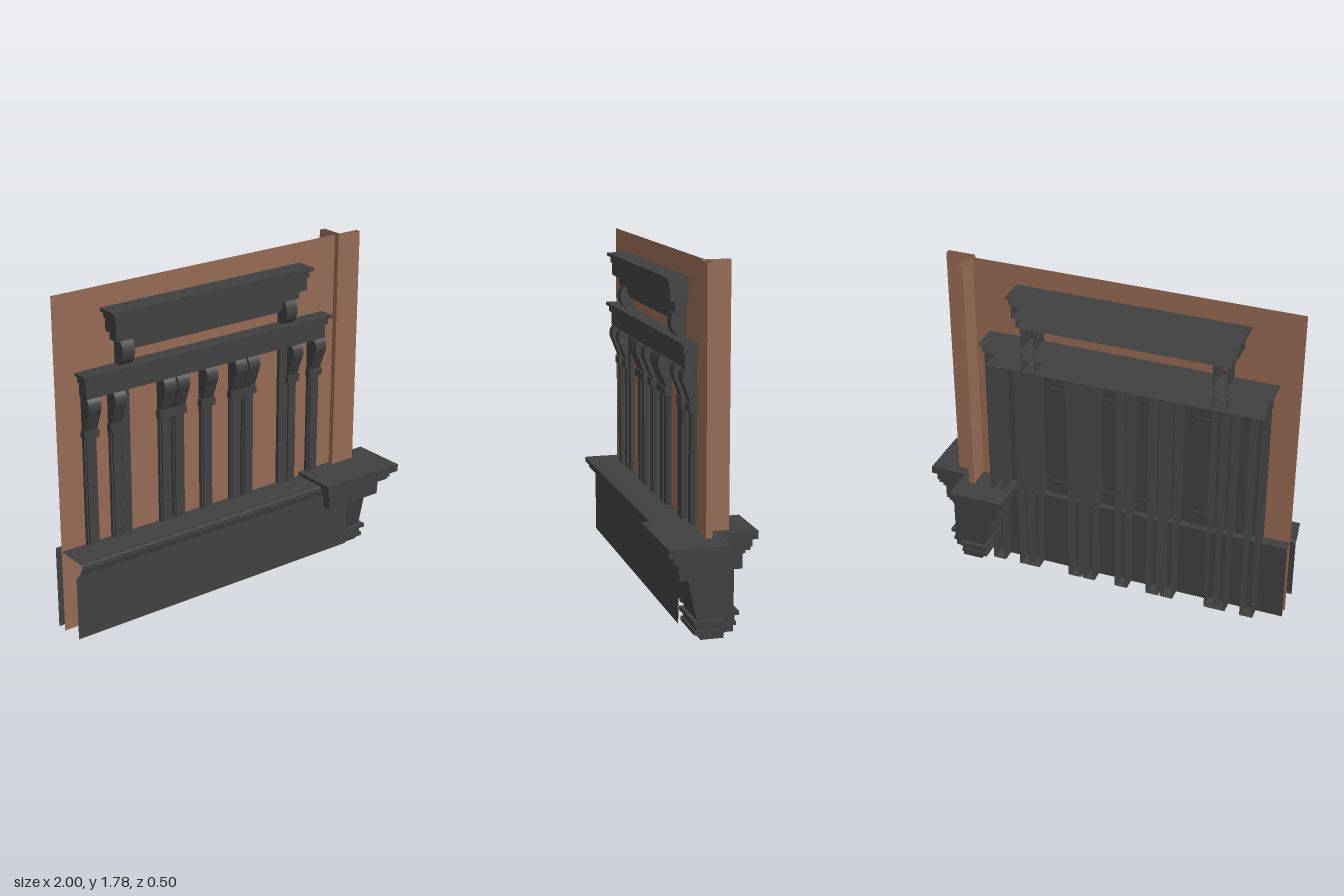
import * as THREE from 'three';

const dark = new THREE.MeshStandardMaterial({ color: 0x404040, side: THREE.DoubleSide });
dark.name = 'charcoal paint';
const brown = new THREE.MeshStandardMaterial({ color: 0x966a54, side: THREE.DoubleSide });
brown.name = 'brown wall';

const CENTRE = -0.125; // mirror axis of the pilaster front
const BACK = -0.135;

function add(parent, name, geometry, material = dark) {
  const mesh = new THREE.Mesh(geometry, material);
  mesh.name = name;
  parent.add(mesh);
  return mesh;
}

// Box given by its limits, without the face on the -z side
function openBox(x0, x1, y0, y1, z0, z1) {
  const g = new THREE.BoxGeometry(x1 - x0, y1 - y0, z1 - z0);
  g.translate((x0 + x1) / 2, (y0 + y1) / 2, (z0 + z1) / 2);
  g.setIndex(Array.from(g.index.array).slice(0, 30));
  g.clearGroups();
  return g;
}

// Side profile of [z, y] points extruded from x0 to x1
function profile(points, x0, x1) {
  const shape = new THREE.Shape(points.map(([z, y]) => new THREE.Vector2(z, y)));
  const g = new THREE.ExtrudeGeometry(shape, { depth: x1 - x0, bevelEnabled: false });
  return g.rotateY(-Math.PI / 2).translate(x1, 0, 0);
}

// Open sheet swept along x from a line of [z, y] points
function sheet(points, x0, x1) {
  const pos = [];
  for (let i = 0; i < points.length - 1; i++) {
    const [za, ya] = points[i], [zb, yb] = points[i + 1];
    pos.push(x0, ya, za, x0, yb, zb, x1, yb, zb, x0, ya, za, x1, yb, zb, x1, ya, za);
  }
  const g = new THREE.BufferGeometry();
  g.setAttribute('position', new THREE.Float32BufferAttribute(pos, 3));
  g.computeVertexNormals();
  return g;
}

// L-shaped plinth tier; the two outer faces may lean from inset o0 to o1
function plinthTier(y0, y1, o0, o1, end) {
  const xo = 0.5 + o0, zo = 0.25 - o0, xe = 1 - end, ze = -0.25 + end;
  const plan = [[xo, zo], [xe, zo], [xe, -0.055], [0.8, -0.055], [0.8, ze], [xo, ze]];
  const shape = new THREE.Shape(plan.map(([x, z]) => new THREE.Vector2(x, -z)));
  const g = new THREE.ExtrudeGeometry(shape, { depth: y1 - y0, bevelEnabled: false });
  g.rotateX(-Math.PI / 2).translate(0, y0, 0);
  const p = g.attributes.position;
  for (let i = 0; i < p.count; i++) {
    if (p.getY(i) < (y0 + y1) / 2) continue;
    if (Math.abs(p.getX(i) - xo) < 1e-4) p.setX(i, 0.5 + o1);
    if (Math.abs(p.getZ(i) - zo) < 1e-4) p.setZ(i, 0.25 - o1);
  }
  g.computeVertexNormals();
  return g;
}

// Smooth scroll curve closed against the wall
function scroll(points) {
  const curve = new THREE.SplineCurve(points.map(([z, y]) => new THREE.Vector2(z, y)));
  const pts = curve.getPoints(16).map((v) => [v.x, v.y]);
  return [[0, points[0][1]], ...pts, [0, points[points.length - 1][1]]];
}

export function createModel() {
  const model = new THREE.Group();
  model.name = 'panelled wall';

  // Wall sheet and folded corner post
  add(model, 'wall', sheet([[0, 0.03], [0, 1.78]], -1, 0.715), brown);
  const post = new THREE.Group();
  post.name = 'cornerPost';
  model.add(post);
  const plan = [[0.715, 0.03], [0.86, 0.03], [0.86, 0], [0.745, 0], [0.745, -0.12], [0.715, -0.12], [0.715, 0.03]];
  for (let i = 0; i < plan.length - 1; i++) {
    const [xa, za] = plan[i], [xb, zb] = plan[i + 1];
    const g = new THREE.PlaneGeometry(Math.hypot(xb - xa, zb - za), 1.31);
    g.rotateY(Math.atan2(za - zb, xb - xa)).translate((xa + xb) / 2, 1.125, (za + zb) / 2);
    add(post, 'postFace', g, brown);
  }

  // Base board with its moulding and ledge
  add(model, 'baseBoard', sheet([[0.13, 0.04], [0.13, 0.38]], -1, 0.74));
  add(model, 'baseMoulding', sheet([
    [0.13, 0.38], [0.15, 0.39], [0.15, 0.4], [0.165, 0.405], [0.175, 0.44],
    [0.19, 0.445], [0.19, 0.465], [0.18, 0.47], [-0.055, 0.47],
  ], -1, 0.62));
  add(model, 'baseBack', sheet([[-0.055, 0.03], [-0.055, 0.47]], -1, 0.62));

  // Stepped corner plinth
  const plinth = new THREE.Group();
  plinth.name = 'cornerPlinth';
  model.add(plinth);
  [
    [0, 0.03, 0.19, 0.17, 0.125], [0.03, 0.05, 0.155, 0.155, 0.11],
    [0.05, 0.08, 0.165, 0.165, 0.118], [0.08, 0.1, 0.15, 0.15, 0.095],
    [0.1, 0.31, 0.17, 0.125, 0.122], [0.31, 0.385, 0.075, 0.07, 0.08],
    [0.385, 0.4, 0.07, 0.045, 0.065], [0.4, 0.415, 0.04, 0.04, 0.04],
    [0.415, 0.45, 0.03, 0.03, 0.03], [0.45, 0.49, 0, 0, 0],
  ].forEach((t) => add(plinth, 'plinthTier', plinthTier(...t)));

  // Pilasters: hollow shafts running through the wall, with scroll corbels
  const corbel = scroll([[0.028, 1.08], [0.045, 1.12], [0.06, 1.16], [0.075, 1.2], [0.07, 1.235], [0.055, 1.257]]);
  function pilaster(x0, x1) {
    const g = new THREE.Group();
    g.name = 'pilaster';
    add(g, 'shaft', openBox(x0 + 0.01, x1 - 0.01, 0.04, 1.255, BACK, 0.027));
    add(g, 'shaftEdge', openBox(x0, x1, 0.04, 1.255, BACK, 0.018));
    add(g, 'corbel', profile(corbel, x0, x1));
    add(g, 'corbelFoot', openBox(x0 - 0.006, x1 + 0.006, 1.04, 1.08, 0, 0.038));
    model.add(g);
  }
  for (const offset of [0.295, 0.215, 0.735]) {
    const left = CENTRE + offset - 0.07, right = CENTRE - offset + 0.07;
    pilaster(left, left + 0.07);
    pilaster(right - 0.07, right);
  }
  pilaster(CENTRE - 0.04, CENTRE + 0.03);
  pilaster(-0.71, -0.645);
  pilaster(0.39, 0.455);
  add(model, 'sideShaft', openBox(-0.645, -0.595, 0.04, 1.255, BACK, 0.02));
  add(model, 'sideShaft', openBox(0.34, 0.39, 0.04, 1.255, BACK, 0.02));

  // Panelled lining behind the wall
  add(model, 'backLining', sheet([[-0.012, 0.04], [-0.012, 1.25]], -0.86, 0.6));
  for (const x of [-0.53, -0.225, -0.035, 0.25]) {
    for (const [y0, y1] of [[0.15, 0.55], [0.65, 1.12]]) {
      const panel = new THREE.BoxGeometry(0.11, y1 - y0, 0.008);
      add(model, 'liningPanel', panel.translate(x, (y0 + y1) / 2, -0.016));
    }
  }

  // Middle cornice
  const middle = new THREE.Group();
  middle.name = 'middleCornice';
  model.add(middle);
  add(middle, 'corniceBody', openBox(-0.865, 0.61, 1.255, 1.33, BACK, 0.062));
  add(middle, 'corniceBand', openBox(-0.875, 0.62, 1.33, 1.365, BACK, 0.072));
  add(middle, 'corniceCap', openBox(-0.888, 0.636, 1.365, 1.38, -0.14, 0.088));

  // Scroll brackets between the cornices
  const bracket = scroll([[0.045, 1.38], [0.065, 1.405], [0.075, 1.44], [0.07, 1.475], [0.055, 1.507]]);
  for (const [x0, x1] of [[-0.662, -0.592], [0.34, 0.41]]) {
    add(model, 'bracket', profile(bracket, x0, x1));
    add(model, 'bracketBlock', openBox(x0, x1, 1.255, 1.505, BACK, 0.03));
  }
  add(model, 'frieze', openBox(-0.592, 0.34, 1.465, 1.505, 0, 0.04));
  add(model, 'friezeStrip', openBox(-0.592, 0.34, 1.44, 1.465, 0, 0.025));

  // Upper cornice
  const upper = new THREE.Group();
  upper.name = 'upperCornice';
  model.add(upper);
  add(upper, 'corniceFoot', openBox(-0.685, 0.432, 1.505, 1.552, BACK, 0.06));
  add(upper, 'corniceBody', openBox(-0.708, 0.455, 1.552, 1.62, BACK, 0.093));
  add(upper, 'corniceBand', openBox(-0.717, 0.464, 1.62, 1.655, BACK, 0.1));
  add(upper, 'corniceCap', openBox(-0.735, 0.48, 1.655, 1.672, -0.14, 0.115));

  return model;
}
